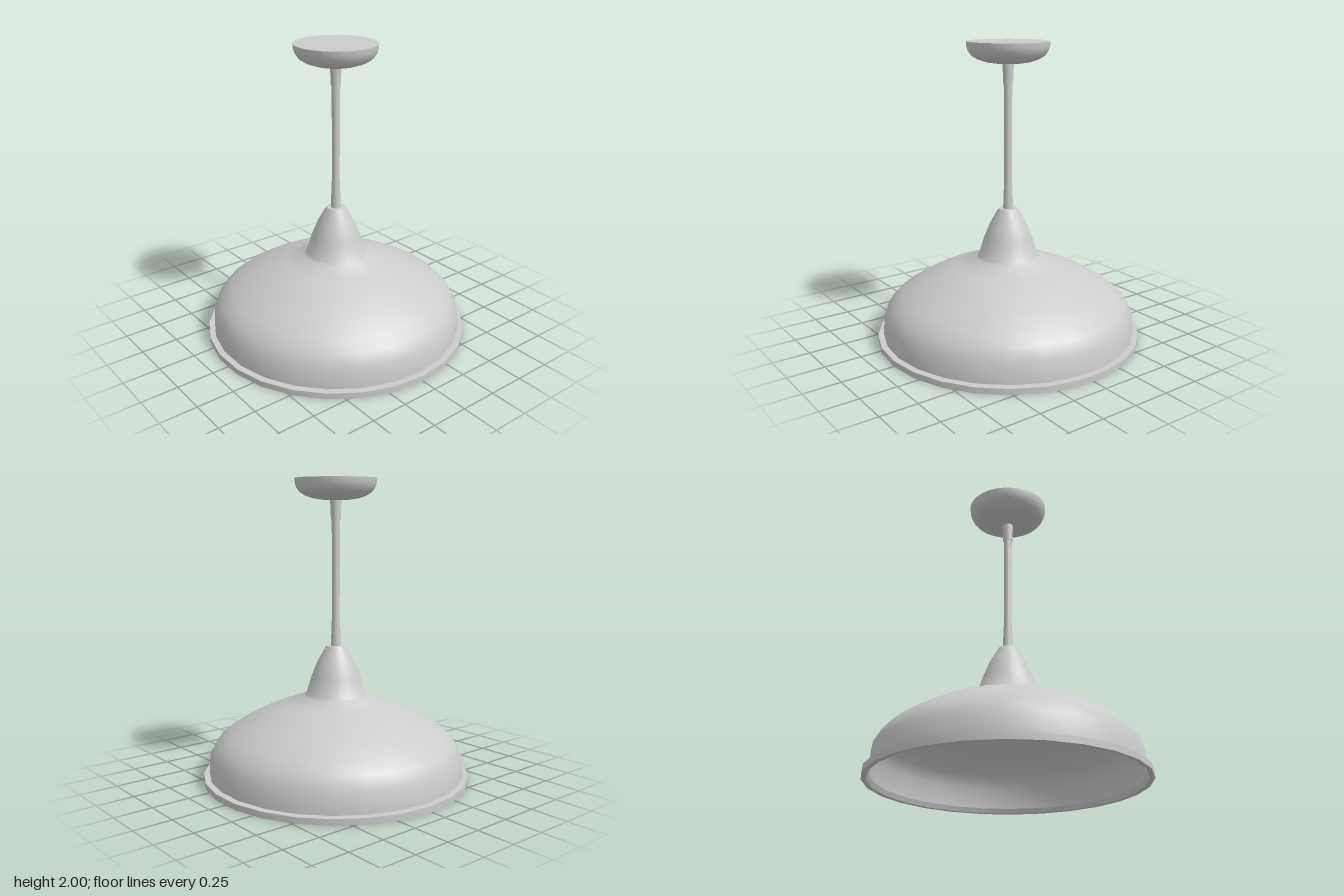
import * as THREE from 'three';
import { toCreasedNormals } from 'three/addons/utils/BufferGeometryUtils.js';

const SIDES = 26;
const material = new THREE.MeshStandardMaterial({ color: 0xcccccc, side: THREE.DoubleSide });

// Turned part from [radius, height] pairs, outer side running upwards
function turned(name, profile, crease = 0.62) {
  const points = profile.map(([r, y]) => new THREE.Vector2(r, y));
  const geometry = toCreasedNormals(new THREE.LatheGeometry(points, SIDES), crease);
  const mesh = new THREE.Mesh(geometry, material);
  mesh.name = name;
  return mesh;
}

export function createModel() {
  const group = new THREE.Group();
  group.name = 'pendantLamp';

  // Shade: bell-shaped dome running into a narrow neck, with a thin hollow wall
  const dome = [
    [0.855, 0.045], [0.845, 0.18], [0.8, 0.26], [0.727, 0.325], [0.61, 0.395],
    [0.485, 0.46], [0.35, 0.515], [0.215, 0.562], [0.198, 0.58],
    [0.165, 0.69], [0.12, 0.8], [0.062, 0.9],
  ];
  const wall = 0.012;
  const lining = dome.slice(1).reverse().map(([r, y]) => [r - wall, y - wall]);
  group.add(turned('shade', [...dome, [0, 0.9], [0, 0.888], ...lining, [0.845, 0.03]]));

  // Rim: flat band around the mouth of the shade
  group.add(turned('rim', [
    [0.845, 0.04], [0.862, 0], [0.893, 0], [0.893, 0.04], [0.862, 0.042], [0.845, 0.04],
  ]));

  // Rod, swelling slightly towards both ends
  group.add(turned('rod', [
    [0.034, 0.89], [0.03, 1.0], [0.026, 1.1], [0.026, 1.6], [0.029, 1.75],
  ]));

  // Collar joining the rod to the ceiling plate
  group.add(turned('collar', [
    [0.026, 1.735], [0.033, 1.735], [0.034, 1.8], [0.037, 1.84], [0.037, 1.87],
  ]));

  // Ceiling canopy: shallow bowl with a flat top
  group.add(turned('canopy', [
    [0, 1.857], [0.09, 1.861], [0.15, 1.87], [0.2, 1.887], [0.237, 1.91],
    [0.258, 1.94], [0.268, 1.97], [0.27, 2], [0, 2],
  ]));

  return group;
}
